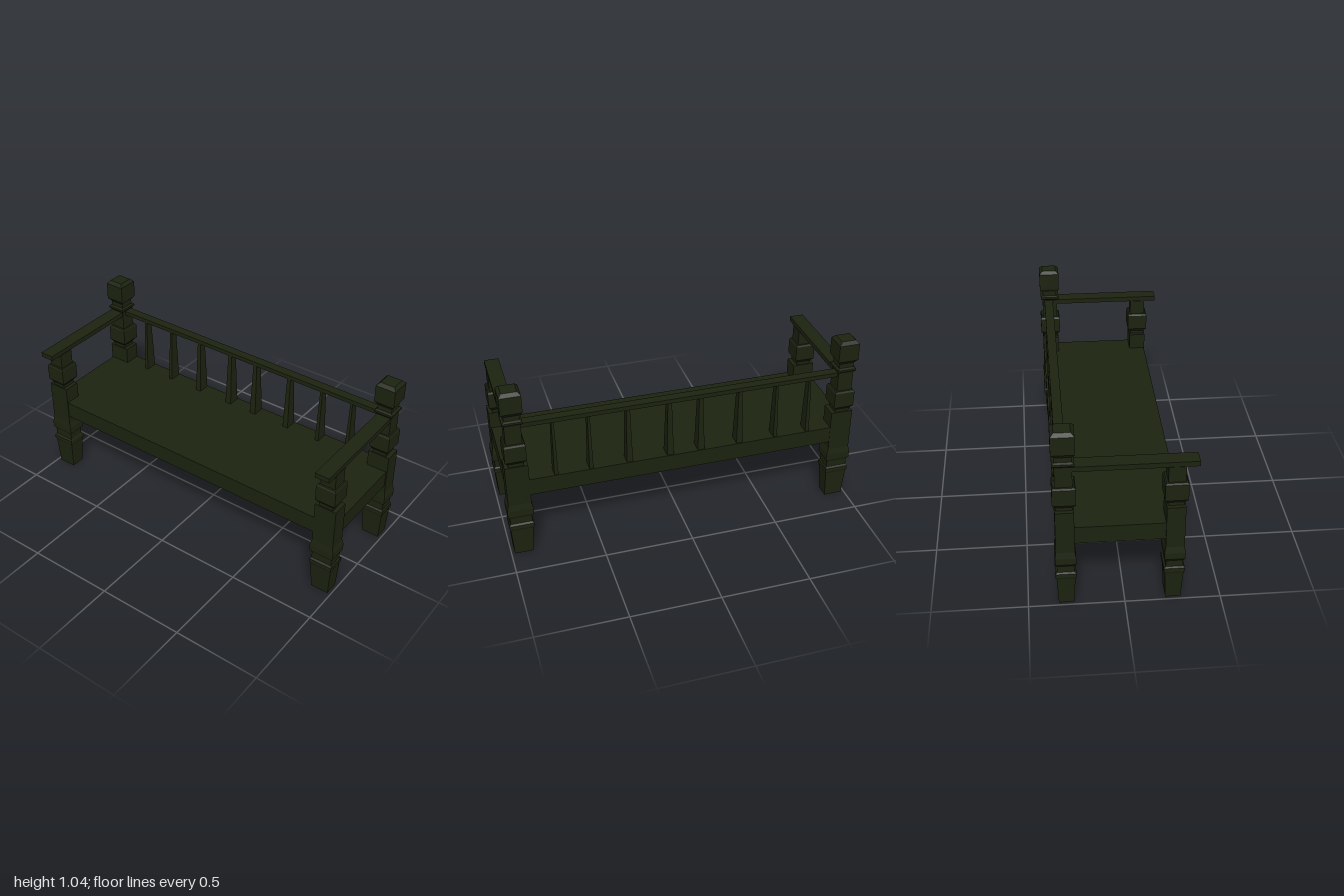
import * as THREE from 'three';

const material = new THREE.MeshStandardMaterial({ color: 0x1c2310, flatShading: true });

// Closed rectangular loft; rows run bottom to top as [y, half width x, half depth z]
function loft(rows) {
  const corners = [[1, 1], [1, -1], [-1, -1], [-1, 1]];
  const rings = rows.map(([y, hx, hz]) => corners.map(([sx, sz]) => [sx * hx, y, sz * hz]));
  const pos = [];
  const quad = (a, b, c, d) => pos.push(...a, ...b, ...c, ...a, ...c, ...d);
  for (let k = 0; k < rings.length - 1; k++) {
    for (let i = 0; i < 4; i++) {
      const j = (i + 1) % 4;
      quad(rings[k][i], rings[k][j], rings[k + 1][j], rings[k + 1][i]);
    }
  }
  quad(...rings[rings.length - 1]);
  quad(...[...rings[0]].reverse());
  const geometry = new THREE.BufferGeometry();
  geometry.setAttribute('position', new THREE.Float32BufferAttribute(pos, 3));
  geometry.computeVertexNormals();
  return geometry;
}

// Turned leg and square body, shared by all four posts
const legRows = [
  [0, 0.052, 0.04], [0.165, 0.062, 0.048], [0.178, 0.067, 0.054], [0.2, 0.067, 0.054],
  [0.209, 0.06, 0.044], [0.247, 0.06, 0.044], [0.264, 0.071, 0.053], [0.302, 0.071, 0.054],
  [0.338, 0.063, 0.048], [0.583, 0.063, 0.048],
];
// Block above the body
const blockRows = [
  [0.583, 0.041, 0.041], [0.602, 0.041, 0.041], [0.624, 0.058, 0.059],
  [0.715, 0.058, 0.059], [0.725, 0.052, 0.053], [0.726, 0.044, 0.044],
];
// Ring, neck and finial of the back posts
const finialRows = [
  [0.836, 0.044, 0.044], [0.842, 0.044, 0.046], [0.853, 0.054, 0.055], [0.864, 0.054, 0.055],
  [0.871, 0.042, 0.042], [0.898, 0.042, 0.042], [0.92, 0.058, 0.059],
  [1.02, 0.058, 0.059], [1.038, 0.041, 0.041],
];

export function createModel() {
  const group = new THREE.Group();

  function add(name, geometry, x, y, z) {
    const mesh = new THREE.Mesh(geometry, material);
    mesh.name = name;
    mesh.position.set(x, y, z);
    group.add(mesh);
  }

  // Posts and armrests, mirrored left and right
  const frontPost = loft([...legRows, ...blockRows, [0.814, 0.044, 0.044]]);
  const backPost = loft([...legRows, ...blockRows, ...finialRows]);
  const armrest = new THREE.BoxGeometry(0.082, 0.028, 0.644);
  for (const [side, s] of [['left', 1], ['right', -1]]) {
    add(side + 'FrontPost', frontPost, s * 0.929, 0, 0.253);
    add(side + 'BackPost', backPost, s * 0.929, 0, -0.302);
    add(side + 'Armrest', armrest, s * 0.93, 0.826, 0.042);
  }

  // Thick seat slab
  add('seat', new THREE.BoxGeometry(1.97, 0.099, 0.645), 0, 0.4375, -0.0255);

  // Back rail
  add('backRail', new THREE.BoxGeometry(1.8, 0.025, 0.052), 0, 0.8275, -0.309);

  // Tapered back spindles: [x, half width at the foot]
  const spindles = [
    [-0.725, 0.011], [-0.532, 0.011], [-0.318, 0.017], [-0.094, 0.019],
    [0.083, 0.019], [0.313, 0.017], [0.527, 0.011], [0.719, 0.011],
  ];
  for (const [x, w] of spindles) {
    add('spindle', loft([[0.485, w, 0.035], [0.818, w * 0.6, 0.02]]), x, 0, -0.307);
  }
  return group;
}
